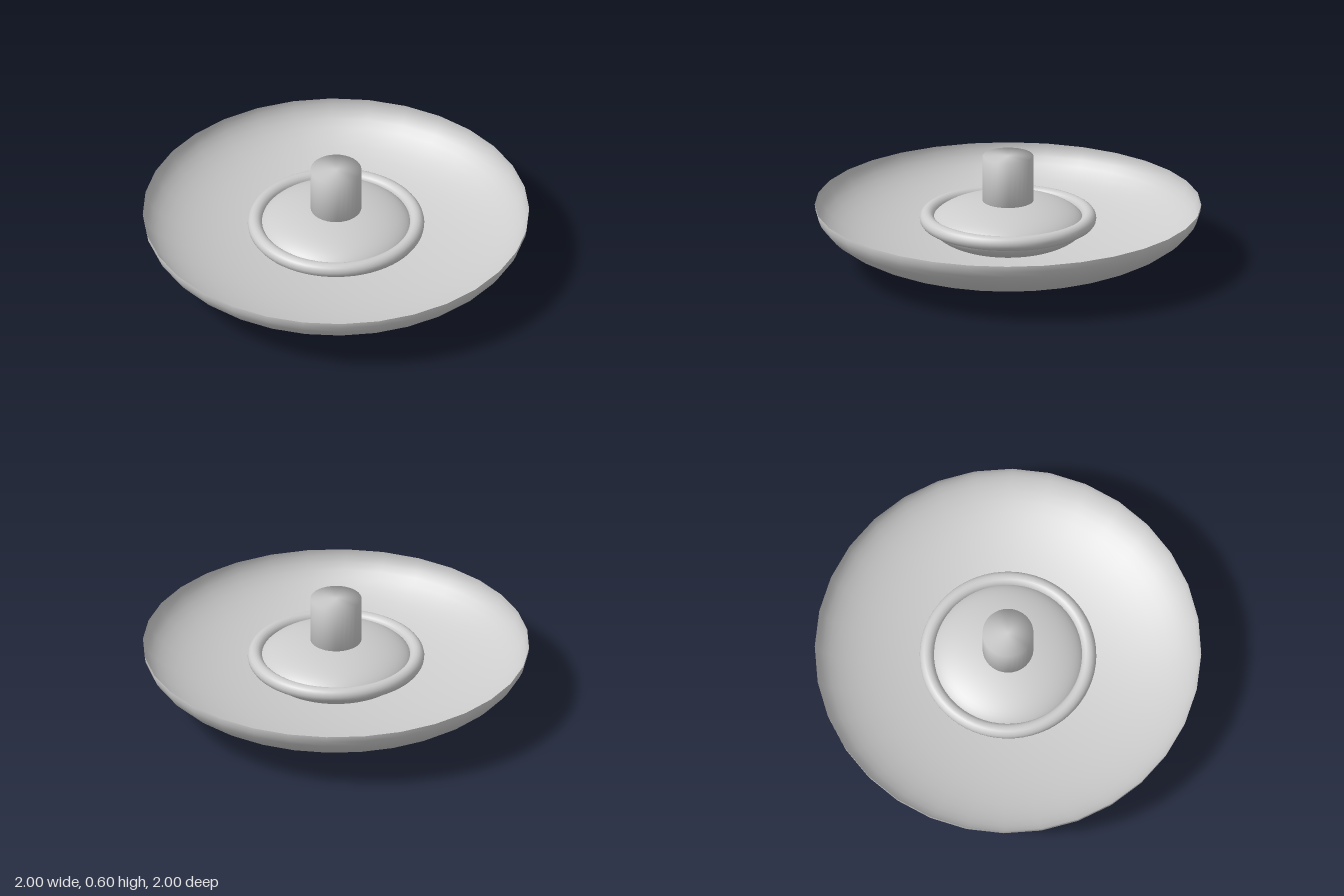
import * as THREE from 'three';
import { mergeVertices } from 'three/addons/utils/BufferGeometryUtils.js';

export function createModel() {
  const model = new THREE.Group();
  const grey = new THREE.MeshStandardMaterial({ color: 0xcccccc, side: THREE.DoubleSide });
  grey.name = 'light grey';

  function add(name, geometry, y) {
    const mesh = new THREE.Mesh(geometry, grey);
    mesh.name = name;
    mesh.position.y = y;
    model.add(mesh);
  }

  // Open shallow dish: lower half of a flattened sphere
  const dish = new THREE.SphereGeometry(1, 32, 16, 0, Math.PI * 2, Math.PI / 2, Math.PI / 2);
  add('dish', dish.scale(1, 1 / 3, 1), 1 / 3);

  // Flattened body floating in the middle of the dish
  const body = new THREE.SphereGeometry(0.4, 64, 32);
  add('body', body.scale(1, 1 / 3, 1), 0.233);

  // Ring around the body
  const ring = new THREE.TorusGeometry(0.419, 0.038, 16, 64);
  add('ring', ring.rotateX(Math.PI / 2), 0.262);

  // Knob on top, with normals smoothed across its rims
  let knob = new THREE.CylinderGeometry(0.132, 0.132, 0.25, 32);
  knob.deleteAttribute('normal');
  knob.deleteAttribute('uv');
  knob = mergeVertices(knob, 1e-4);
  knob.computeVertexNormals();
  add('knob', knob, 0.475);

  return model;
}
